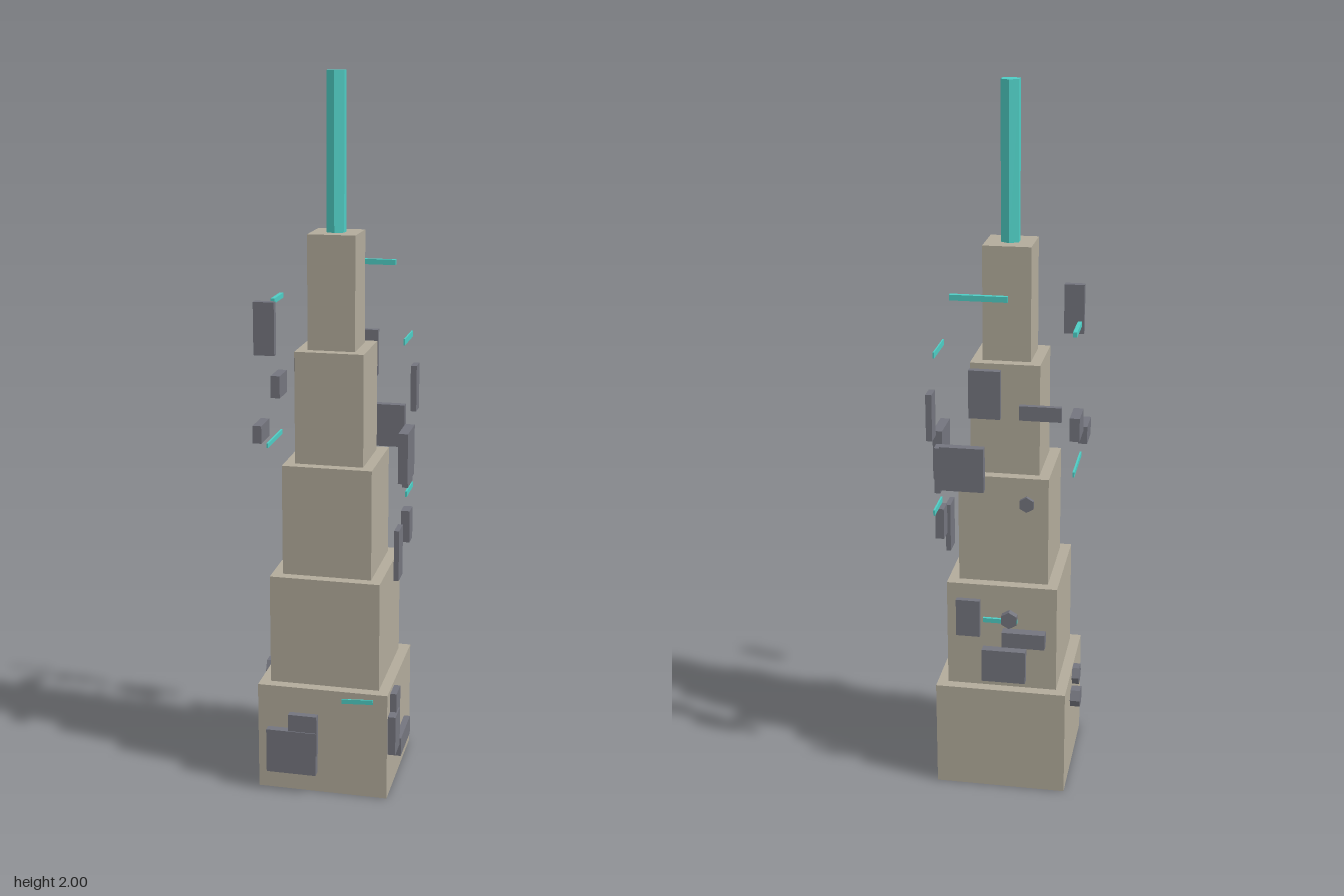
import * as THREE from 'three';

export function createModel() {
  const model = new THREE.Group();
  model.name = 'tieredTower';

  const mat = (name, color, flatShading = false) => {
    const m = new THREE.MeshStandardMaterial({ color, flatShading });
    m.name = name;
    return m;
  };
  const stone = mat('stone', 0xb2ab9b);
  const metal = mat('darkMetal', 0x74757e, true);
  const glow = mat('turquoise', 0x4ecdc4, true);

  const add = (name, geometry, material, x, y, z) => {
    const mesh = new THREE.Mesh(geometry, material);
    mesh.name = name;
    mesh.position.set(x, y, z);
    model.add(mesh);
    return mesh;
  };
  // box given by its extents on each axis
  const block = (name, material, [x0, x1], [y0, y1], [z0, z1]) =>
    add(name, new THREE.BoxGeometry(x1 - x0, y1 - y0, z1 - z0), material,
      (x0 + x1) / 2, (y0 + y1) / 2, (z0 + z1) / 2);

  // five stacked tiers, each narrower than the one below
  const tierHeight = 0.315;
  for (let i = 0; i < 5; i++) {
    const w = 0.372 - i * 0.06;
    add('tier' + (i + 1), new THREE.BoxGeometry(w, tierHeight, w), stone,
      0, (i + 0.5) * tierHeight, 0.001);
  }

  // hexagonal mast
  add('mast', new THREE.CylinderGeometry(0.028, 0.028, 0.425, 6), glow, 0, 1.7875, 0.001);

  // panels floating off the front: x range, y range, outer z
  [
    [[-0.157, -0.014], [0.06, 0.19], 0.212],
    [[-0.094, -0.012], [0.12, 0.24], 0.209],
    [[-0.179, -0.122], [1.27, 1.413], 0.209],
  ].forEach(([x, y, z]) => block('frontPanel', metal, x, y, [0.189, z]));

  // panels floating off the back
  [
    [[-0.168, -0.055], [1.14, 1.18], -0.2],
    [[0.04, 0.16], [0.93, 1.055], -0.209],
    [[-0.005, 0.08], [1.14, 1.273], -0.204],
    [[0.055, 0.122], [0.49, 0.6], -0.201],
    [[-0.13, -0.009], [0.47, 0.515], -0.214],
    [[-0.075, 0.048], [0.357, 0.455], -0.211],
  ].forEach(([x, y, z]) => block('backPanel', metal, x, y, [z, -0.185]));

  // panels on the left side (+x): z range, y range, outer x
  [
    [[0.0875, 0.148], [0.155, 0.305], 0.205],
    [[0.114, 0.183], [0.135, 0.25], 0.209],
    [[-0.084, 0.068], [0.075, 0.13], 0.205],
    [[-0.043, 0.066], [0.895, 1.038], 0.214],
    [[-0.077, 0], [0.865, 1.0], 0.204],
    [[0.054, 0.115], [0.63, 0.775], 0.201],
    [[-0.037, 0.01], [0.708, 0.8], 0.212],
    [[-0.17, -0.123], [1.055, 1.187], 0.204],
  ].forEach(([z, y, x]) => block('leftPanel', metal, [0.187, x], y, z));

  // panels on the right side (-x)
  [
    [[0.025, 0.113], [1.0, 1.05], -0.212],
    [[-0.176, -0.09], [1.08, 1.145], -0.214],
  ].forEach(([z, y, x]) => block('rightPanel', metal, [x, -0.187], y, z));

  // hexagonal studs, axis pointing out of the wall
  const stud = (r, d) => new THREE.CylinderGeometry(r, r, d, 6);
  add('rightStud', stud(0.03, 0.02), metal, -0.196, 0.287, -0.002).rotation.z = Math.PI / 2;
  add('rightStud', stud(0.03, 0.028), metal, -0.2, 0.233, -0.039).rotation.z = Math.PI / 2;
  add('backStud', stud(0.022, 0.011), metal, -0.075, 0.896, -0.189).rotation.x = Math.PI / 2;
  add('backStud', stud(0.025, 0.02), metal, -0.028, 0.548, -0.194).rotation.x = Math.PI / 2;

  // thin glowing bars
  block('frontBar', glow, [0.058, 0.147], [0.287, 0.3], [0.194, 0.198]).rotation.z = 0.06;
  block('backBar', glow, [-0.025, 0.128], [1.46, 1.475], [-0.203, -0.19]);
  block('backBar', glow, [-0.05, 0.046], [0.535, 0.548], [-0.197, -0.189]);
  block('leftBar', glow, [0.189, 0.193], [1.273, 1.29], [-0.117, 0.01]);
  block('leftBar', glow, [0.189, 0.194], [0.825, 0.841], [-0.143, -0.042]);
  block('rightBar', glow, [-0.201, -0.19], [1.362, 1.376], [-0.157, -0.052]);
  block('rightBar', glow, [-0.197, -0.192], [0.963, 0.977], [-0.138, 0.025]);

  return model;
}
